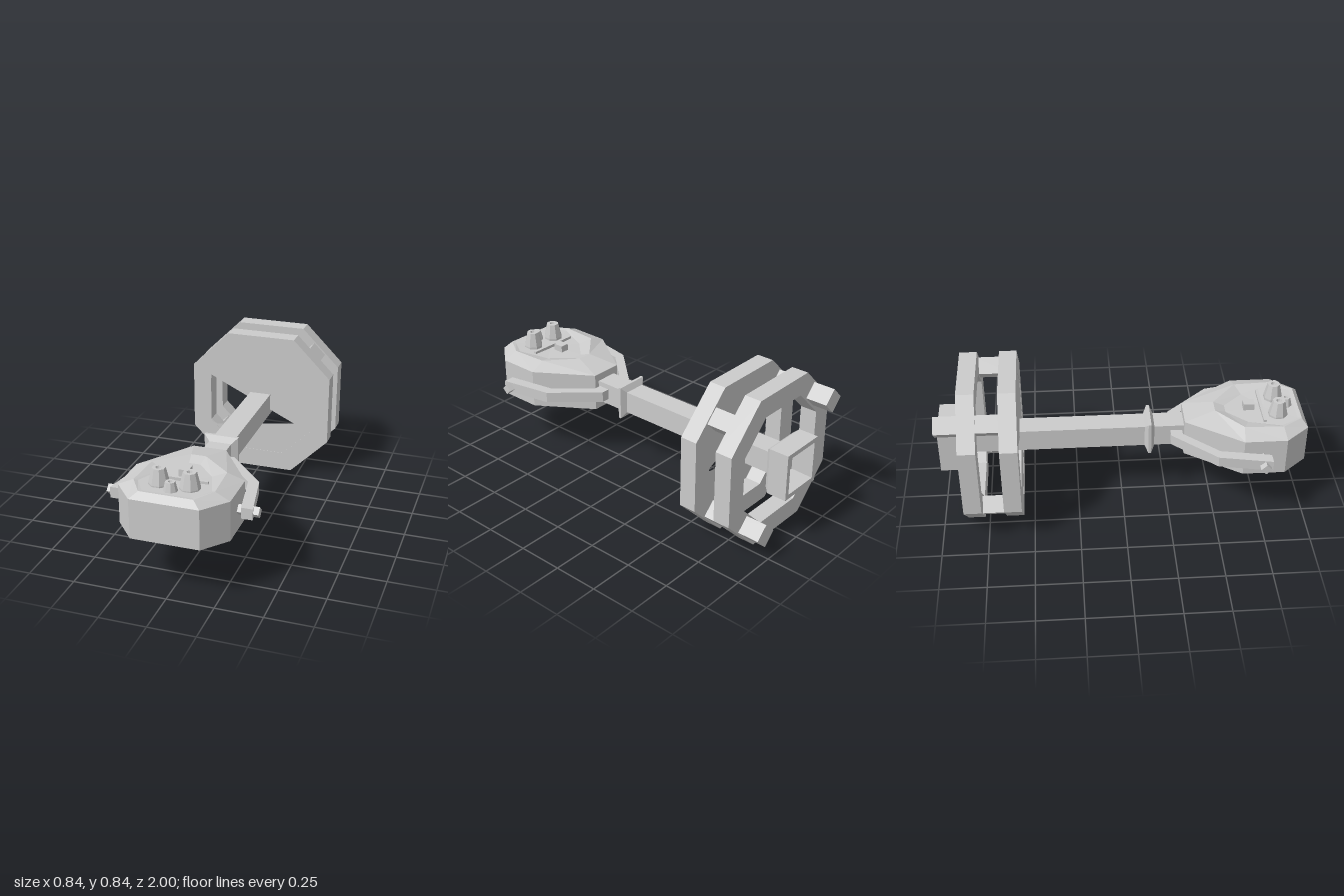
import * as THREE from 'three';

const CY = 0.425; // height of the long axis
const mat = new THREE.MeshStandardMaterial({ color: 0xcccccc, flatShading: true, side: THREE.DoubleSide });

export function createModel() {
  const model = new THREE.Group();

  function add(name, geo, x = 0, y = 0, z = 0) {
    const m = new THREE.Mesh(geo, mat);
    m.name = name;
    m.position.set(x, y, z);
    model.add(m);
    return m;
  }
  const box = (name, w, h, d, x, y, z) => add(name, new THREE.BoxGeometry(w, h, d), x, y, z);
  const v2 = pts => pts.map(p => new THREE.Vector2(p[0], p[1]));
  const extrude = (shape, depth) => new THREE.ExtrudeGeometry(shape, { depth, bevelEnabled: false });
  // chamfered-square outline, centred on the axis
  const octagon = s => v2([[-0.2, -0.42], [0.2, -0.42], [0.42, -0.2], [0.42, 0.2],
    [0.2, 0.42], [-0.2, 0.42], [-0.42, 0.2], [-0.42, -0.2]].map(p => [p[0] * s, p[1] * s]));

  // Joins mirrored cross-sections; each section lists [x, y, z] from back to front on +x
  function loft(sections) {
    const rings = sections.map(s => [...s, ...s.slice().reverse().map(p => [-p[0], p[1], p[2]])]);
    const pos = [];
    for (let k = 0; k < rings.length - 1; k++) {
      const a = rings[k], b = rings[k + 1];
      a.forEach((p, i) => {
        const j = (i + 1) % a.length;
        pos.push(...p, ...b[i], ...b[j], ...p, ...b[j], ...a[j]);
      });
    }
    const g = new THREE.BufferGeometry();
    g.setAttribute('position', new THREE.Float32BufferAttribute(pos, 3));
    g.computeVertexNormals();
    return g;
  }

  // Front pod with bevelled rim and a shallow recess on top
  const wall = [[0.09, 0.34], [0.29, 0.64], [0.29, 0.87], [0.18, 1.0]];
  const level = (pts, y) => pts.map(p => [p[0], y, p[1]]);
  const point = y => wall.map(() => [0, y, 0.78]);
  add('pod', loft([
    point(0.3),
    level([[0.05, 0.6], [0.17, 0.68], [0.19, 0.84], [0.14, 0.95]], 0.3),
    level(wall, 0.315),
    level(wall, 0.53),
    level([[0.04, 0.51], [0.2, 0.65], [0.21, 0.86], [0.14, 0.97]], 0.565),
    [[0.03, 0.545, 0.57], [0.13, 0.545, 0.68], [0.19, 0.558, 0.85], [0.13, 0.562, 0.95]],
    point(0.548),
  ]));

  // Eight-sided knobs with a dimpled top
  function knob(name, r, top, x, z) {
    const h = top - 0.53;
    const g = new THREE.LatheGeometry(v2([[r, 0], [r, h * 0.3], [r * 0.65, h],
      [r * 0.3, h], [r * 0.22, h - 0.015], [0, h - 0.015]]), 8, Math.PI / 8);
    add(name, g, x, 0.53, z);
  }
  for (const s of [-1, 1]) {
    knob('largeKnob', 0.053, 0.645, s * 0.08, 0.85);
    add('lowerKnob', new THREE.CylinderGeometry(0.053, 0.035, 0.035, 8).rotateY(Math.PI / 8), s * 0.08, 0.295, 0.85);
  }
  knob('smallKnob', 0.038, 0.608, 0, 0.905);
  box('topBlock', 0.05, 0.05, 0.06, 0, 0.56, 0.7);
  box('topBar', 0.29, 0.025, 0.016, 0, 0.552, 0.77);
  box('lowerBlock', 0.065, 0.04, 0.18, 0, 0.295, 0.65);

  // Curved side arms with diamond pins
  for (const s of [-1, 1]) {
    const arm = new THREE.Shape(v2([[0.05, 0.265], [0.11, 0.265], [0.32, 0.5], [0.375, 0.785],
      [0.315, 0.785], [0.265, 0.515], [0.1, 0.33], [0.05, 0.33]].map(p => [s * p[0], p[1]])));
    add('sideArm', extrude(arm, 0.06).rotateX(Math.PI / 2), 0, 0.458, 0);
    box('armPin', 0.11, 0.042, 0.042, s * 0.345, 0.425, 0.745).rotation.x = Math.PI / 4;
  }

  // Square shaft and its flared collar
  box('shaft', 0.125, 0.125, 1.23, 0, CY, -0.255);
  const q = Math.SQRT2;
  add('collar', new THREE.LatheGeometry(v2([[0.06 * q, -0.028], [0.095 * q, -0.008],
    [0.095 * q, 0.008], [0.06 * q, 0.028]]), 4, Math.PI / 4).rotateX(Math.PI / 2), 0, CY, 0.15);

  // Two octagonal rings
  for (const z of [-0.655, -0.87]) {
    const ring = new THREE.Shape(octagon(1));
    ring.holes.push(new THREE.Path(octagon(0.74)));
    add('octagonRing', extrude(ring, 0.095), 0, CY, z);
  }
  // Front plate with a skewed opening
  const plate = new THREE.Shape(octagon(0.8));
  plate.holes.push(new THREE.Path(v2([[-0.31, 0.145], [0.21, -0.105], [-0.275, -0.175], [-0.31, -0.145]])));
  add('frontPlate', new THREE.ShapeGeometry(plate), 0, CY, -0.562);

  // Diagonal struts between the rings; one opposite pair runs on to the back
  for (const sx of [-1, 1]) for (const sy of [-1, 1]) {
    const back = sx * sy < 0 ? -0.99 : -0.8;
    const len = -0.6 - back;
    box('strut', 0.095, 0.095, len, sx * 0.27, CY + sy * 0.272, back + len / 2).rotation.z = Math.PI / 4;
  }

  // Open square cup at the back end
  add('rearCup', new THREE.LatheGeometry(v2([[0, -0.865], [0.11 * q, -0.865], [0.13 * q, -0.89],
    [0.13 * q, -1.0], [0.105 * q, -1.0], [0.09 * q, -0.885], [0, -0.885]]), 4, Math.PI / 4)
    .rotateX(Math.PI / 2), 0, CY, 0);

  return model;
}
